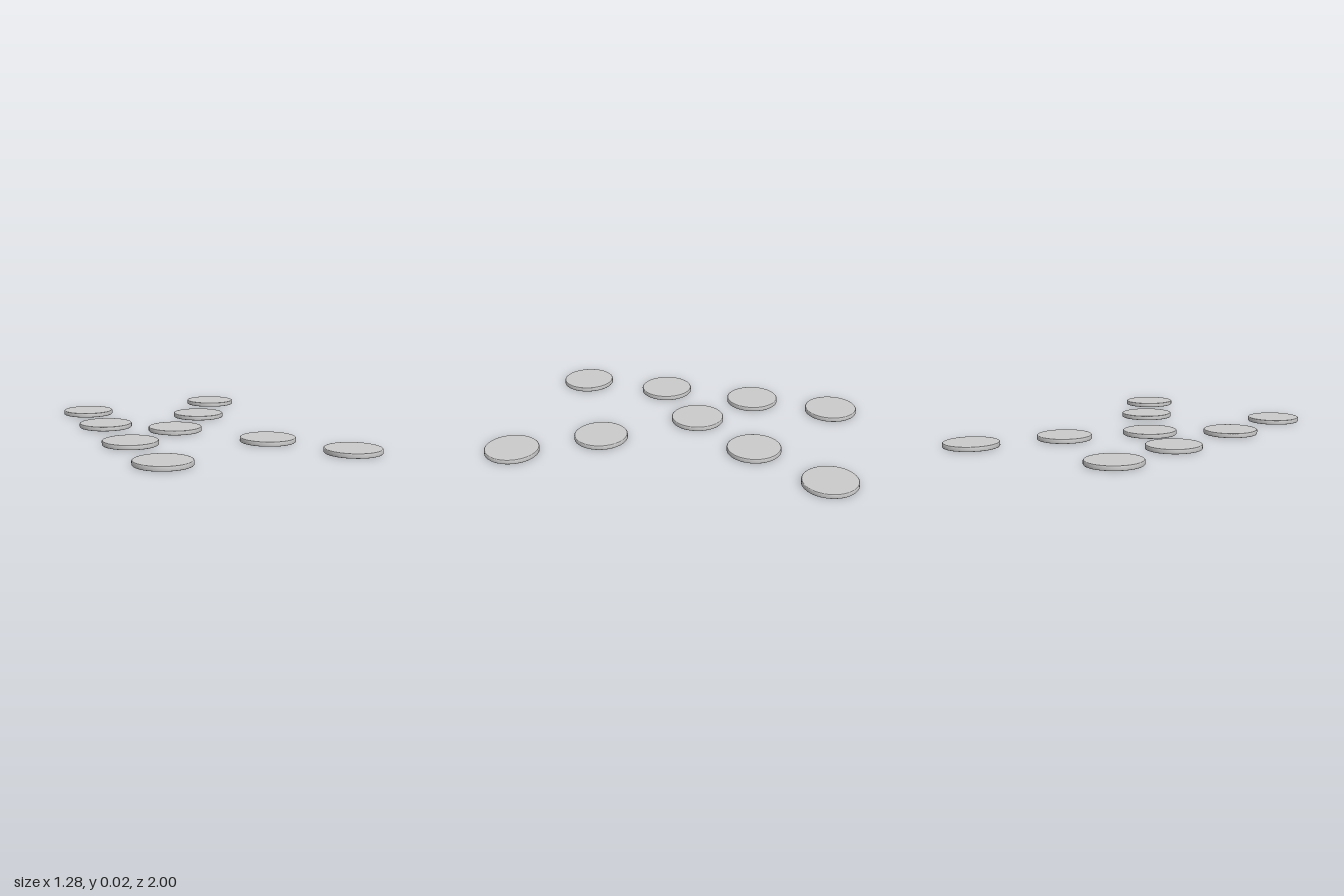
import * as THREE from 'three';

const RADIUS = 0.148, HEIGHT = 0.024, EDGE = 0.003;

// Disc centres as [x, z]
const ROW = [[-0.47, -0.735], [-0.483, -0.262], [-0.492, 0.275], [-0.48, 0.78]];
const CHEVRON = [[0.378, -0.852], [0.132, -0.405], [-0.149, -0.013], [0.211, 0.444], [0.491, 0.852]];

// Flat round disc with a finely eased rim
function discGeometry() {
  const profile = [
    [0, 0], [RADIUS - EDGE, 0], [RADIUS, EDGE],
    [RADIUS, HEIGHT - EDGE], [RADIUS - EDGE, HEIGHT], [0, HEIGHT],
  ].map(([r, y]) => new THREE.Vector2(r, y));
  // Doubled cap edges keep the flat faces evenly shaded
  profile.splice(1, 0, new THREE.Vector2(RADIUS - EDGE - 0.001, 0));
  profile.splice(6, 0, new THREE.Vector2(RADIUS - EDGE - 0.001, HEIGHT));
  return new THREE.LatheGeometry(profile, 64);
}

export function createModel() {
  const model = new THREE.Group();
  model.name = 'discArrangement';
  const geometry = discGeometry();
  const material = new THREE.MeshStandardMaterial({ color: 0xcccccc });

  // One named group per line of discs
  const addDiscs = (name, centres) => {
    const group = new THREE.Group();
    group.name = name;
    centres.forEach(([x, z], i) => {
      const disc = new THREE.Mesh(geometry, material);
      disc.name = `${name}Disc${i + 1}`;
      disc.position.set(x, 0, z);
      group.add(disc);
    });
    model.add(group);
  };

  addDiscs('straightRow', ROW);
  addDiscs('chevron', CHEVRON);
  return model;
}
